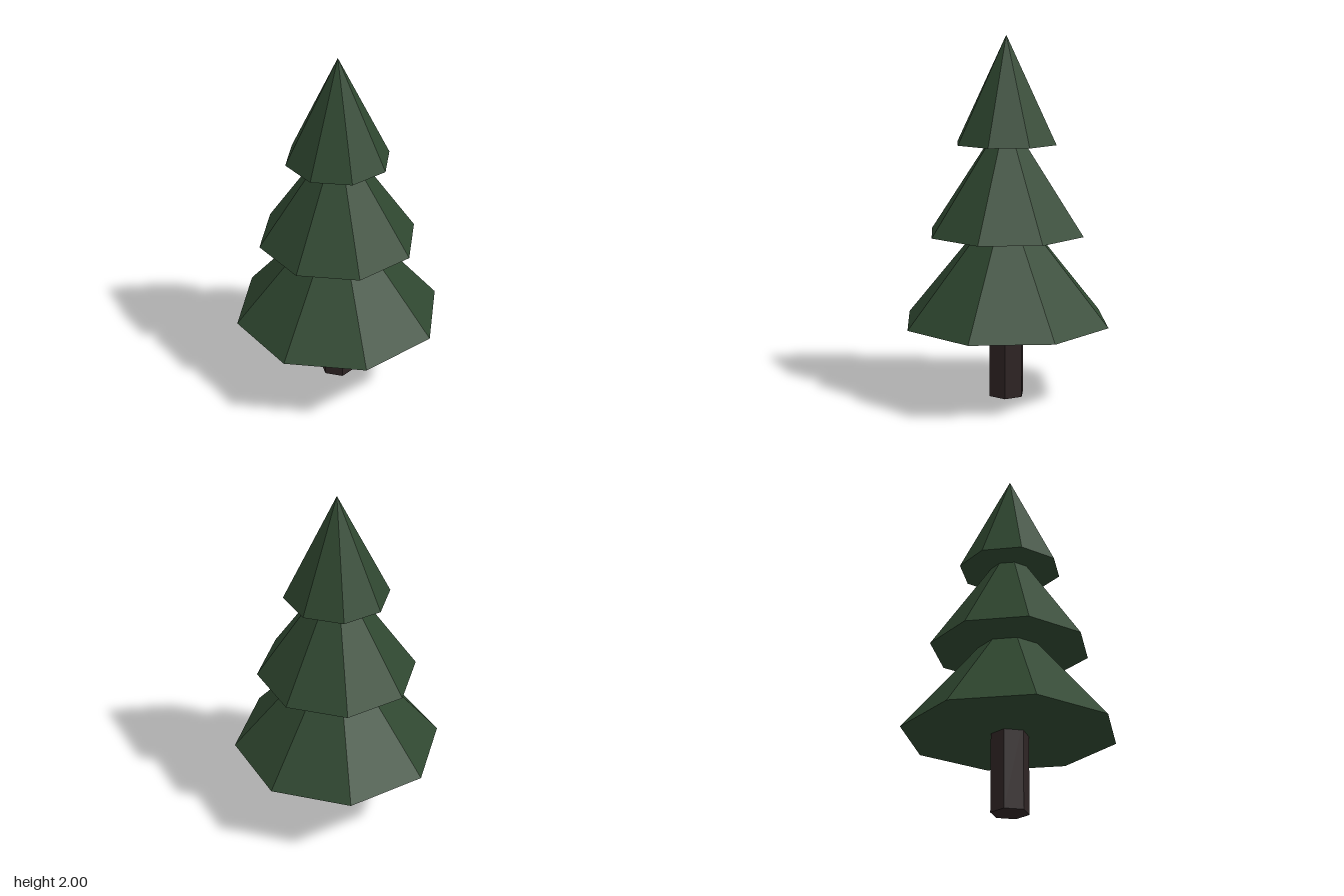
import * as THREE from 'three';

export function createModel() {
  const tree = new THREE.Group();
  tree.name = 'pineTree';

  const needles = new THREE.MeshStandardMaterial({ color: 0x2f4730 });
  needles.name = 'dark green needles';
  const bark = new THREE.MeshStandardMaterial({ color: 0x2e2424 });
  bark.name = 'dark brown bark';

  // Faceted solid standing on the given height
  const add = (name, geometry, height, base, material) => {
    const flat = geometry.toNonIndexed();
    flat.computeVertexNormals();
    const mesh = new THREE.Mesh(flat, material);
    mesh.name = name;
    mesh.position.y = base + height / 2;
    tree.add(mesh);
  };

  // Six-sided trunk, reaching a little into the foliage
  add('trunk', new THREE.CylinderGeometry(0.104, 0.104, 0.49, 6), 0.49, 0, bark);

  // Three eight-sided foliage tiers: radius, height, base
  const tiers = [
    ['lowerFoliage', 0.588, 0.705, 0.43],
    ['middleFoliage', 0.443, 0.655, 0.923],
    ['upperFoliage', 0.287, 0.585, 1.415],
  ];
  for (const [name, radius, height, base] of tiers) {
    add(name, new THREE.ConeGeometry(radius, height, 8), height, base, needles);
  }

  return tree;
}
